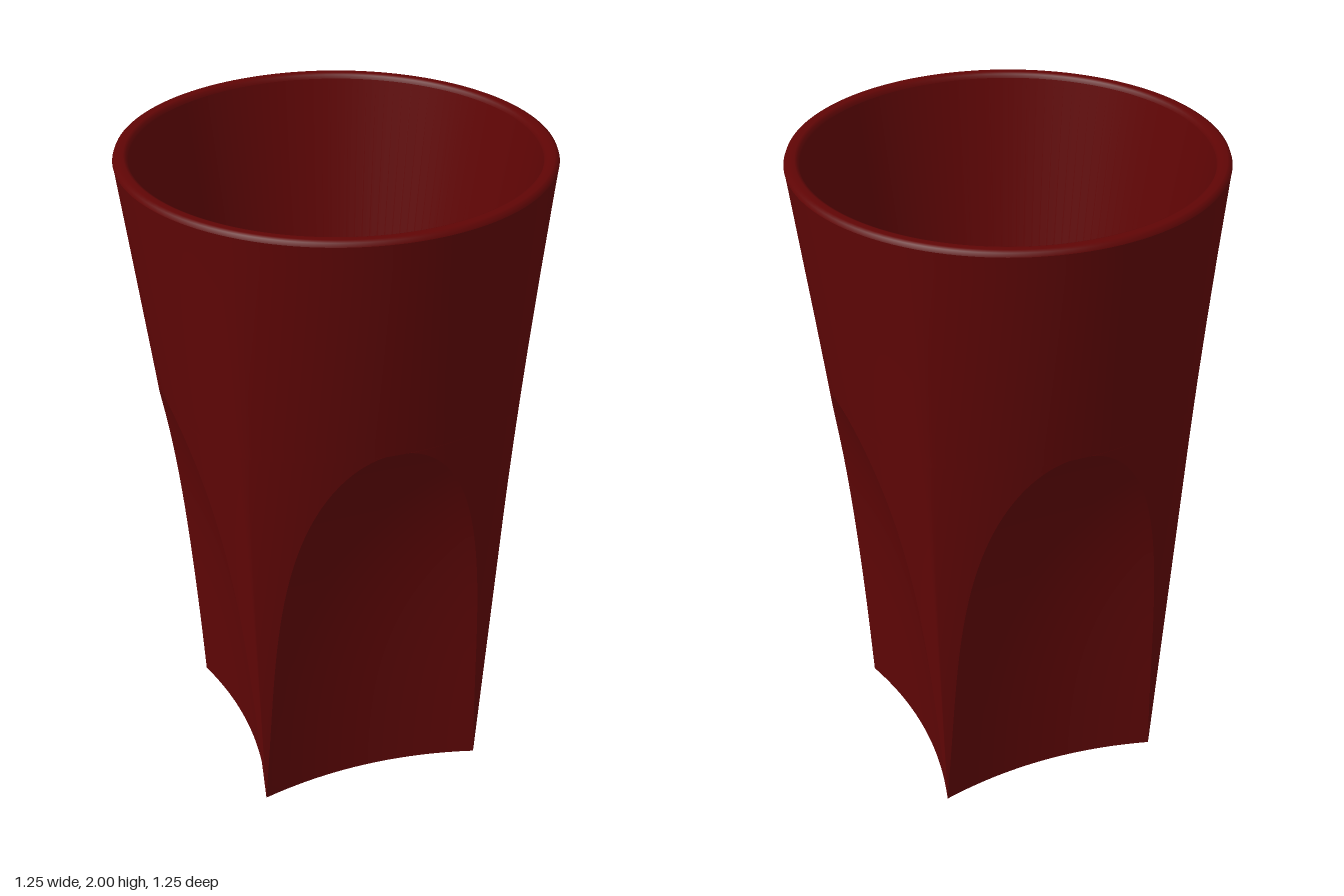
import * as THREE from 'three';
import { mergeVertices } from 'three/addons/utils/BufferGeometryUtils.js';

const WALL_TOP = 1.985, ARCH_TOP = 1.296, QUARTER = Math.PI / 2, BOW = 0.4;

// Tapered wall: round at the rim, squarer towards the base
function wallRadius(angle, y) {
  const flat = 0.353 + 0.136 * y, corner = 0.495 + 0.065 * y;
  const turn = Math.abs(angle - QUARTER * Math.round(angle / QUARTER)) / (QUARTER / 2);
  return flat + (corner - flat) * turn ** 1.8;
}

// Concave scallop x = depth + BOW * z^2, as a distance from the centre
function scallopRadius(angle, y) {
  const depth = 0.301 + 0.084 * y + 0.042 * y ** 4;
  const c = Math.cos(angle), k = BOW * Math.sin(angle) ** 2;
  const d = c * c - 4 * k * depth;
  return d < 0 ? Infinity : (2 * depth) / (c + Math.sqrt(d));
}

// Half angle of the scallop at a height
function edgeAngle(y) {
  if (y >= ARCH_TOP) return 0;
  let lo = 0, hi = QUARTER / 2;
  for (let i = 0; i < 40; i++) {
    const mid = (lo + hi) / 2;
    if (scallopRadius(mid, y) < wallRadius(mid, y)) lo = mid; else hi = mid;
  }
  return lo;
}

// Strips of points side by side: rows go up, columns go from left to right
function surface(heights, strips, columns, point) {
  const positions = [], index = [];
  for (let s = 0; s < strips; s++) {
    const start = positions.length / 3;
    heights.forEach((y, j) => {
      for (let i = 0; i <= columns; i++) {
        positions.push(...point(i, y, s));
        if (j && i) {
          const b = start + j * (columns + 1) + i, a = b - columns - 1;
          index.push(a - 1, a, b - 1, a, b, b - 1);
        }
      }
    });
  }
  let geometry = new THREE.BufferGeometry();
  geometry.setAttribute('position', new THREE.Float32BufferAttribute(positions, 3));
  geometry.setIndex(index);
  geometry = mergeVertices(geometry, 1e-5);
  geometry.computeVertexNormals();
  return geometry;
}

const polar = (r, angle, y) => [r * Math.sin(angle), y, r * Math.cos(angle)];

export function createModel() {
  const group = new THREE.Group();
  const material = new THREE.MeshStandardMaterial({ color: 0x600505 });
  const add = (name, geometry) => {
    const mesh = new THREE.Mesh(geometry, material);
    mesh.name = name;
    group.add(mesh);
    return mesh;
  };

  // Rows crowd together near the top of the arches
  const lower = Array.from({ length: 61 }, (_, j) => ARCH_TOP * (1 - (1 - j / 60) ** 2));
  const upper = Array.from({ length: 12 }, (_, j) => ARCH_TOP + (WALL_TOP - ARCH_TOP) * (j + 1) / 12);

  // Outer wall: four corners that meet above the scallops
  add('outerWall', surface([...lower, ...upper], 4, 32, (i, y, corner) => {
    const e = edgeAngle(y);
    const angle = corner * QUARTER + e + (i / 32) * (QUARTER - 2 * e);
    return polar(wallRadius(angle, y), angle, y);
  }));

  // Four scalloped faces
  const scallopPoint = (i, y) => {
    const angle = edgeAngle(y) * (i / 16 - 1);
    return polar(scallopRadius(angle, y), angle, y);
  };
  const scallop = surface(lower, 1, 32, scallopPoint);
  ['front', 'left', 'back', 'right'].forEach((side, k) => {
    add(side + 'Scallop', scallop).rotation.y = k * QUARTER;
  });

  // Underside, a square with bowed-in edges
  const outline = [], centre = new THREE.Vector2();
  for (let k = 0; k < 4; k++) {
    for (let i = 0; i < 32; i++) {
      const [x, , z] = scallopPoint(i, 0);
      outline.push(new THREE.Vector2(x, z).rotateAround(centre, -k * QUARTER));
    }
  }
  add('underside', new THREE.ShapeGeometry(new THREE.Shape(outline)).rotateX(Math.PI / 2));

  // Rounded rim, inner wall and floor
  const lathe = (name, points) => add(name,
    new THREE.LatheGeometry(points.map(([x, y]) => new THREE.Vector2(x, y)), 128));
  lathe('rim', [[0.624, WALL_TOP], [0.62, 1.996], [0.61, 2], [0.593, 2], [0.584, 1.996], [0.58, 1.985]]);
  lathe('innerWall', [[0.58, 1.985], [0.28, 0.32]]);
  lathe('innerFloor', [[0.28, 0.32], [0, 0.32]]);
  return group;
}
